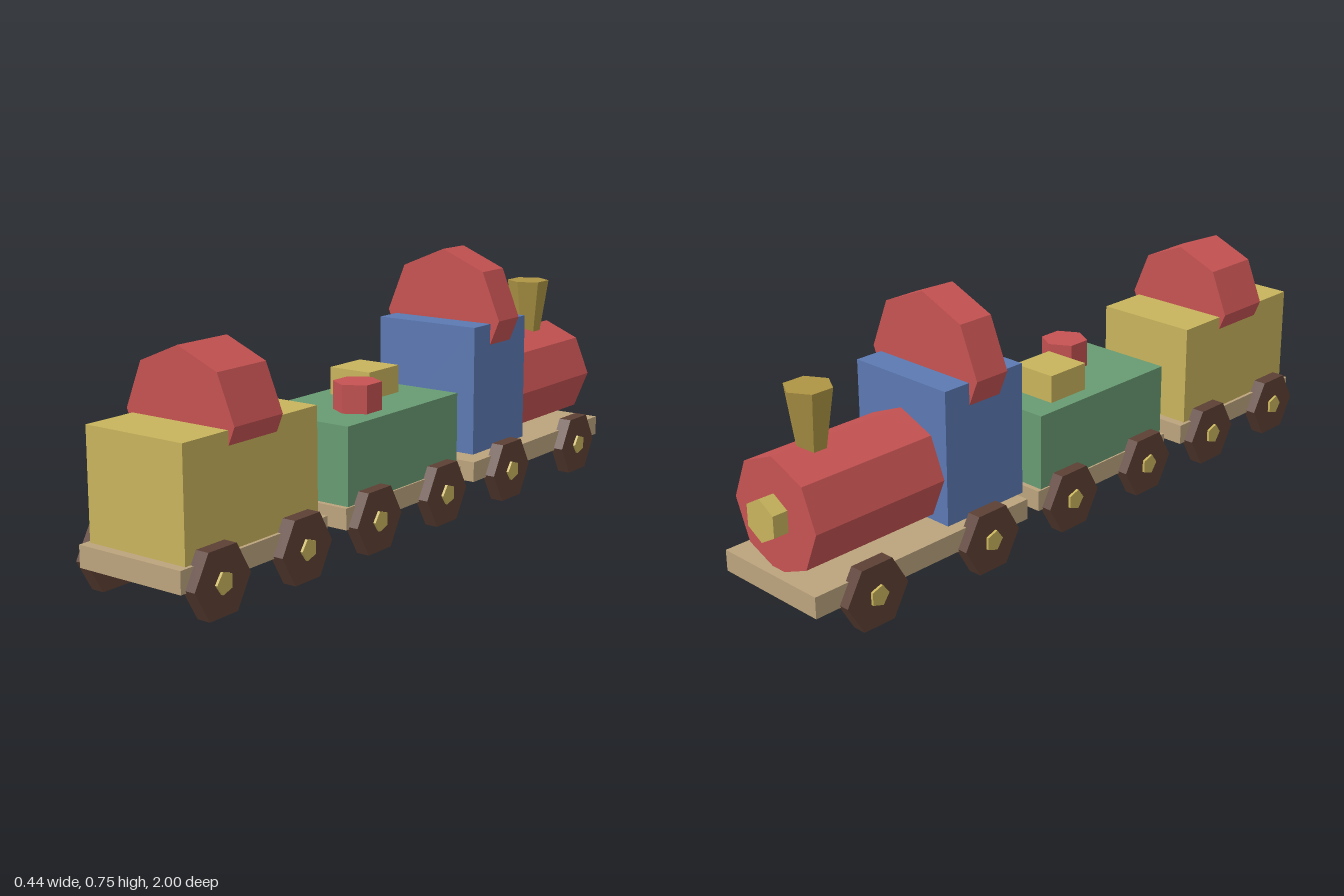
import * as THREE from 'three';

const paint = (name, color) => {
  const m = new THREE.MeshStandardMaterial({ color, flatShading: true });
  m.name = name;
  return m;
};

export function createModel() {
  const red = paint('red', 0xc65252);
  const blue = paint('blue', 0x5b79b2);
  const green = paint('green', 0x689b72);
  const yellow = paint('yellow', 0xc8b45c);
  const brass = paint('brass', 0xae9444);
  const wood = paint('wood', 0xbca37d);
  const darkWood = paint('darkWood', 0x5d4035);

  const train = new THREE.Group();
  train.name = 'toyTrain';

  const add = (parent, name, geometry, material, x, y, z) => {
    const mesh = new THREE.Mesh(geometry, material);
    mesh.name = name;
    mesh.position.set(x, y, z);
    parent.add(mesh);
    return mesh;
  };
  const box = (parent, name, material, size, pos) =>
    add(parent, name, new THREE.BoxGeometry(...size), material, ...pos);
  // Prisms lying along x or z, or standing along y
  const prism = (parent, name, material, axis, sides, rTop, rBottom, length, pos) => {
    const g = new THREE.CylinderGeometry(rTop, rBottom, length, sides);
    if (axis === 'x') g.rotateZ(Math.PI / 2);
    if (axis === 'z') g.rotateX(Math.PI / 2);
    return add(parent, name, g, material, ...pos);
  };

  // A car base: wooden deck and four hexagonal wheels with hubs
  const car = (name, z0, z1, halfWidth, wheelX, wheelZs) => {
    const group = new THREE.Group();
    group.name = name;
    train.add(group);
    box(group, 'deck', wood, [halfWidth * 2, 0.06, z1 - z0], [0, 0.11, (z0 + z1) / 2]);
    for (const z of wheelZs) {
      for (const side of [-1, 1]) {
        const x = side * wheelX;
        prism(group, 'wheel', darkWood, 'x', 6, 0.1, 0.1, 0.04, [x, 0.0866, z]);
        prism(group, 'hub', yellow, 'x', 5, 0.03, 0.03, 0.055, [x, 0.0866, z]);
      }
    }
    return group;
  };

  // Engine, heading toward -z
  const engine = car('engine', -0.985, -0.24, 0.18, 0.19, [-0.81, -0.405]);
  box(engine, 'cab', blue, [0.34, 0.38, 0.28], [0, 0.35, -0.39]);
  prism(engine, 'cabRoof', red, 'z', 8, 0.2, 0.2, 0.11, [0, 0.55, -0.39]);
  prism(engine, 'boiler', red, 'z', 8, 0.16, 0.16, 0.45, [0, 0.29, -0.73]);
  prism(engine, 'headlamp', yellow, 'z', 6, 0.06, 0.06, 0.06, [0, 0.29, -0.97]);
  prism(engine, 'chimney', brass, 'y', 6, 0.066, 0.04, 0.17, [0, 0.515, -0.83]);

  // Middle wagon with two loose blocks on top
  const wagon = car('middleWagon', -0.185, 0.365, 0.17, 0.18, [-0.07, 0.255]);
  box(wagon, 'wagonBody', green, [0.33, 0.22, 0.52], [0, 0.25, 0.09]);
  box(wagon, 'squareBlock', yellow, [0.14, 0.08, 0.14], [-0.05, 0.4, -0.01]);
  prism(wagon, 'hexagonBlock', red, 'y', 6, 0.068, 0.068, 0.08, [0.06, 0.4, 0.17]);

  // Rear wagon
  const rear = car('rearWagon', 0.445, 1, 0.17, 0.18, [0.565, 0.885]);
  box(rear, 'rearBody', yellow, [0.32, 0.3, 0.5], [0, 0.29, 0.7225]);
  prism(rear, 'rearRoof', red, 'z', 8, 0.18, 0.18, 0.18, [0, 0.45, 0.7225]);

  // Couplings between the cars
  for (const z of [-0.2125, 0.405]) {
    prism(train, 'coupling', brass, 'z', 6, 0.015, 0.015, 0.12, [0, 0.11, z]);
  }
  return train;
}
